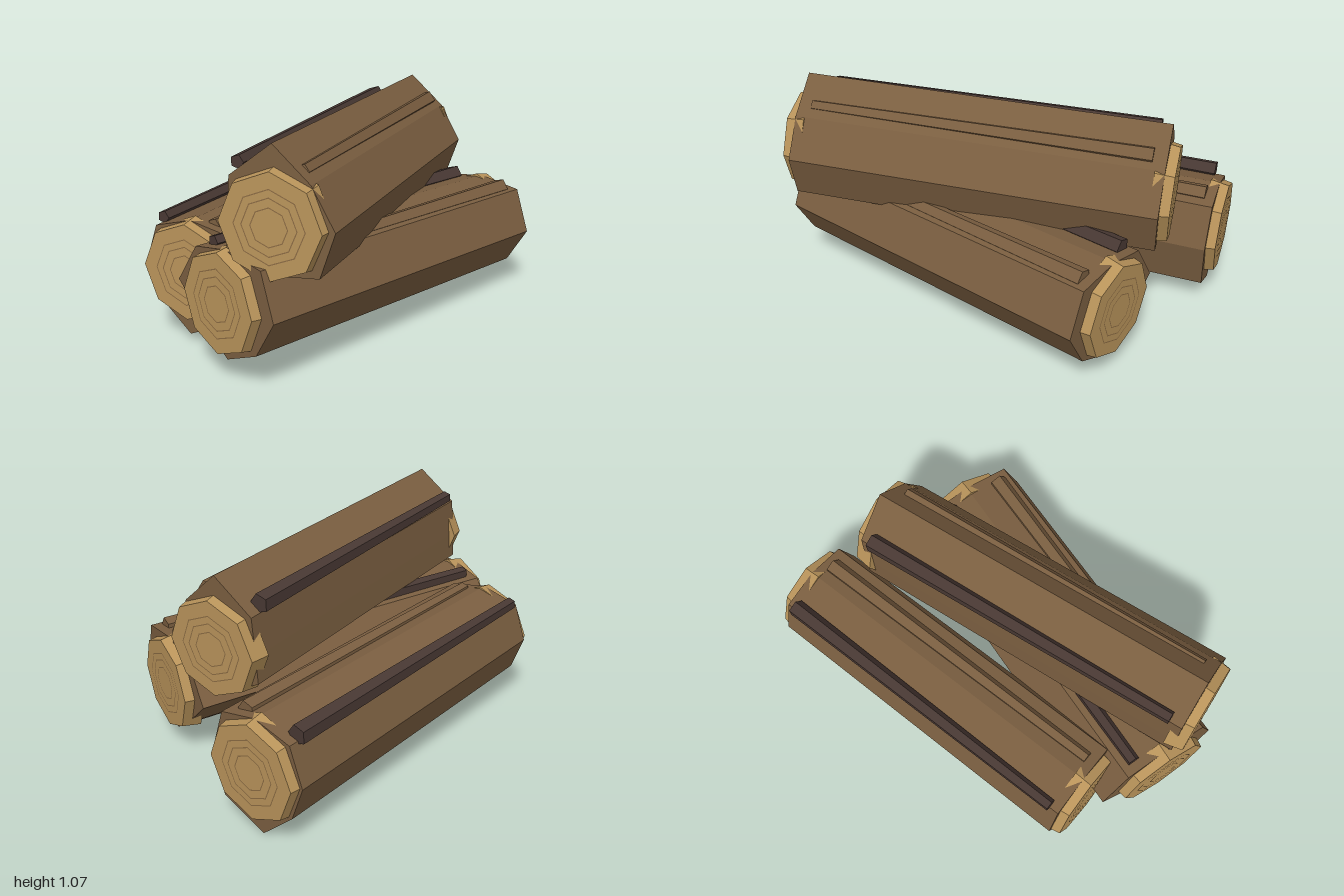
import * as THREE from 'three';

const mat = (name, color, extra = {}) => {
  const m = new THREE.MeshStandardMaterial({ color, ...extra });
  m.name = name;
  return m;
};

// Each log: axis end points, bark cross-section (octagon, counter-clockwise from +x),
// and the x, y offsets of its two bark strips.
const LOGS = [
  {
    name: 'rightLowerLog', front: [-0.24, 0.355, 0.75], back: [-0.475, 0.315, -0.93],
    section: [[0.26, 0], [0.19, 0.2], [0, 0.235], [-0.19, 0.18], [-0.25, 0], [-0.185, -0.17], [-0.015, -0.32], [0.21, -0.22]],
    dark: [-0.185, 0.205], brown: [0.095, 0.215],
  },
  {
    name: 'leftLowerLog', front: [0.12, 0.36, 0.92], back: [0.41, 0.315, -0.75],
    section: [[0.31, 0], [0.23, 0.205], [0, 0.23], [-0.2, 0.19], [-0.33, 0], [-0.12, -0.18], [0.01, -0.265], [0.2, -0.18]],
    dark: [-0.14, 0.215], brown: [0.16, 0.21],
  },
  {
    name: 'upperLog', front: [0.355, 0.74, 0.875], back: [-0.05, 0.68, -0.8],
    section: [[0.265, 0], [0.16, 0.18], [-0.01, 0.33], [-0.2, 0.18], [-0.21, 0], [-0.215, -0.13], [-0.02, -0.22], [0.2, -0.2]],
    dark: [-0.195, 0.22], brown: [0.095, 0.215],
  },
];

export function createModel() {
  const bark = mat('bark', 0x7a5e40);
  const wood = mat('cut wood', 0xb8935a);
  const darkBark = mat('dark bark', 0x483833);
  const ringWood = mat('growth ring', 0x8a6a42);

  const model = new THREE.Group();
  model.name = 'logPile';

  const add = (parent, name, geometry, material) => {
    const mesh = new THREE.Mesh(geometry, material);
    mesh.name = name;
    parent.add(mesh);
    return mesh;
  };

  // Raised bark strip, thicker at the back
  const stripGeometry = new THREE.CylinderGeometry(0.031, 0.046, 1.6, 5).toNonIndexed();
  stripGeometry.rotateX(Math.PI / 2).rotateZ(Math.PI / 2);
  stripGeometry.computeVertexNormals();

  // Cut end: eight-sided disc with a slight taper outward
  const capGeometry = new THREE.CylinderGeometry(0.228, 0.245, 0.09, 8).toNonIndexed();
  capGeometry.rotateX(Math.PI / 2);
  capGeometry.computeVertexNormals();

  const ringGeometries = [0.08, 0.12, 0.155].map((r) => new THREE.RingGeometry(r, r + 0.005, 8));

  for (const spec of LOGS) {
    const front = new THREE.Vector3(...spec.front);
    const back = new THREE.Vector3(...spec.back);
    const length = front.distanceTo(back);

    const log = new THREE.Group();
    log.name = spec.name;
    log.position.copy(front).add(back).multiplyScalar(0.5);
    log.lookAt(front);
    model.add(log);

    // Bark body
    const shape = new THREE.Shape(spec.section.map(([x, y]) => new THREE.Vector2(x, y)));
    const body = new THREE.ExtrudeGeometry(shape, { depth: length, bevelEnabled: false });
    body.translate(0, 0, -length / 2);
    add(log, 'barkBody', body, bark);

    // Bark strips along the top
    add(log, 'darkStrip', stripGeometry, darkBark).position.set(...spec.dark, 0);
    add(log, 'brownStrip', stripGeometry, bark).position.set(...spec.brown, 0);

    // Cut ends with growth rings
    for (const side of [1, -1]) {
      const end = new THREE.Group();
      end.name = side > 0 ? 'frontEnd' : 'backEnd';
      end.rotation.y = side > 0 ? 0 : Math.PI;
      log.add(end);
      add(end, 'cutFace', capGeometry, wood).position.z = length / 2;
      ringGeometries.forEach((g) => {
        add(end, 'growthRing', g, ringWood).position.z = length / 2 + 0.047;
      });
    }
  }
  return model;
}
